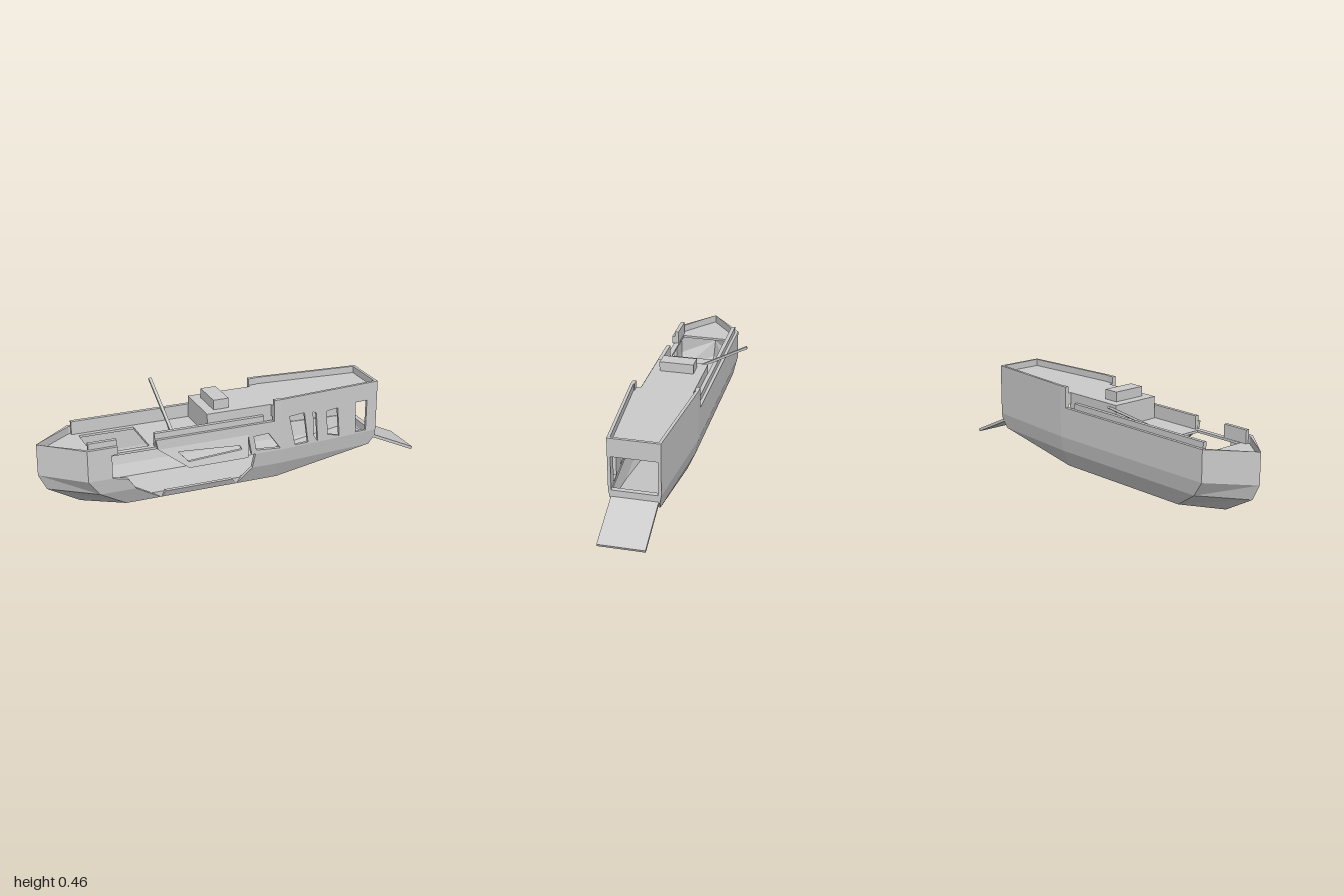
import * as THREE from 'three';

const C = 0.057;          // z of the hull's centre line
const HALF = 0.172;       // greatest half width
const mat = new THREE.MeshStandardMaterial({ color: 0xcccccc, flatShading: true, side: THREE.DoubleSide });

// piecewise linear lookup through [key, value] pairs
function lerpTable(table, k) {
  if (k <= table[0][0]) return table[0][1];
  for (let i = 1; i < table.length; i++) {
    const [a, va] = table[i - 1], [b, vb] = table[i];
    if (k <= b) return va + (vb - va) * (k - a) / (b - a);
  }
  return table[table.length - 1][1];
}

// half width of the hull: chined section, pointed bow, tapering stern
function halfWidth(x, y) {
  const beam = lerpTable([[0.2, HALF], [0.76, 0.127]], x) - lerpTable([[0, 0.055], [0.09, 0.015], [0.17, 0]], y);
  const apex = lerpTable([[0, -0.8], [0.09, -0.96], [0.17, -1]], y);
  const shoulder = lerpTable([[0, -0.6], [0.09, -0.74], [0.17, -0.8]], y);
  return beam * THREE.MathUtils.clamp((x - apex) / (shoulder - apex), 0, 1);
}
const keel = x => lerpTable([[0.2, 0], [0.73, 0.09], [0.76, 0.135]], x);

function makeShape(points, holes) {
  const v = list => list.map(p => new THREE.Vector2(p[0], p[1]));
  const shape = new THREE.Shape(v(points));
  for (const h of holes) shape.holes.push(new THREE.Path(v(h)));
  return new THREE.ExtrudeGeometry(shape, { depth: 1, bevelEnabled: false });
}

function createModel() {
  const group = new THREE.Group();

  function add(name, geometry) {
    const mesh = new THREE.Mesh(geometry, mat);
    mesh.name = name;
    group.add(mesh);
    return mesh;
  }

  function box(name, x0, x1, y0, y1, z0, z1) {
    const m = add(name, new THREE.BoxGeometry(x1 - x0, y1 - y0, z1 - z0));
    m.position.set((x0 + x1) / 2, (y0 + y1) / 2, (z0 + z1) / 2);
    return m;
  }

  // outline in side view, laid onto the hull side with a thickness
  function plate(name, side, points, holes = [], offset = () => 0, t = 0.02) {
    const g = makeShape(points, holes), p = g.attributes.position;
    for (let i = 0; i < p.count; i++) {
      const x = p.getX(i), y = p.getY(i);
      const w = halfWidth(x, y) + offset(y) - t * (1 - p.getZ(i));
      p.setZ(i, C + side * Math.max(0, w));
    }
    g.computeVertexNormals();
    add(name, g);
  }

  // horizontal slab that follows the hull's plan between the given stations
  function slab(name, stations, yAt, up, holes = [], inset = 0.01) {
    const edge = stations.map(x => [x, Math.max(0.0005, halfWidth(x, yAt(x)) - inset)]);
    const outline = [...edge, ...edge.slice().reverse().map(([x, w]) => [x, -w])];
    const g = makeShape(outline, holes), p = g.attributes.position;
    for (let i = 0; i < p.count; i++) {
      const x = p.getX(i), z = p.getY(i);
      p.setXYZ(i, x, yAt(x) + up * p.getZ(i), C + z);
    }
    g.computeVertexNormals();
    add(name, g);
  }

  // bow facets, both sides
  for (const side of [1, -1]) {
    plate('bowUpper', side, [[-1, 0.17], [-0.8, 0.17], [-0.8, 0.33], [-1, 0.33]]);
    plate('bowMiddle', side, [[-1, 0.17], [-0.96, 0.09], [-0.74, 0.09], [-0.8, 0.17]]);
    plate('bowLower', side, [[-0.96, 0.09], [-0.8, 0], [-0.6, 0], [-0.74, 0.09]]);
  }

  // intact far side
  plate('backSideUpper', -1, [[-0.8, 0.17], [0.2, 0.17], [0.2, 0.44], [0.16, 0.44], [0.16, 0.33], [-0.8, 0.33]]);
  plate('backSideMiddle', -1, [[-0.8, 0.17], [-0.74, 0.09], [0.2, 0.09], [0.2, 0.17]]);
  plate('backSideLower', -1, [[-0.74, 0.09], [-0.6, 0], [0.2, 0], [0.2, 0.09]]);

  // torn front side
  plate('frontForwardUpper', 1, [[-0.8, 0.17], [-0.68, 0.17], [-0.68, 0.29], [-0.65, 0.29], [-0.65, 0.33], [-0.8, 0.33]]);
  plate('frontForwardMiddle', 1, [[-0.8, 0.17], [-0.74, 0.09], [-0.56, 0.09], [-0.6, 0.15], [-0.68, 0.17]]);
  plate('frontForwardLower', 1, [[-0.74, 0.09], [-0.6, 0], [-0.42, 0], [-0.5, 0.05], [-0.56, 0.09]]);
  plate('frontCentreLower', 1, [[-0.42, 0], [-0.4, 0.035], [-0.05, 0.035], [-0.02, 0]]);
  plate('frontUpperBand', 1,
    [[-0.46, 0.33], [-0.45, 0.28], [0.02, 0.28], [0.04, 0.17], [0.2, 0.17], [0.2, 0.44], [0.16, 0.44], [0.16, 0.33]],
    [[[0.05, 0.265], [0.13, 0.27], [0.195, 0.18], [0.065, 0.19]]]);
  plate('bentPanel', 1, [[-0.45, 0.28], [-0.3, 0.17], [0.01, 0.17], [0.02, 0.28]],
    [[[-0.35, 0.255], [-0.03, 0.235], [-0.02, 0.215], [-0.3, 0.2]]], y => 0.027 * (0.28 - y) / 0.11, 0.015);
  plate('frontAftMiddle', 1, [[0.06, 0.17], [0.05, 0.09], [0.2, 0.09], [0.2, 0.17]]);
  plate('frontAftLower', 1, [[0.05, 0.09], [-0.02, 0], [0.2, 0], [0.2, 0.09]]);

  // tapering stern sides; the front one is pierced
  const gaps = [
    [[0.245, 0.34], [0.33, 0.345], [0.355, 0.18], [0.28, 0.18]],
    [[0.38, 0.34], [0.40, 0.33], [0.412, 0.175], [0.388, 0.21]],
    [[0.46, 0.33], [0.525, 0.335], [0.54, 0.18], [0.47, 0.2]],
    [[0.63, 0.345], [0.70, 0.345], [0.70, 0.18], [0.64, 0.18]],
  ];
  for (const side of [1, -1]) {
    plate('sternUpper', side, [[0.2, 0.17], [0.76, 0.17], [0.76, 0.44], [0.2, 0.44]], side > 0 ? gaps : [], undefined, 0.015);
    plate('sternMiddle', side, [[0.2, 0.17], [0.2, 0.09], [0.73, 0.09], [0.76, 0.135], [0.76, 0.17]]);
    plate('sternLower', side, [[0.2, 0.09], [0.2, 0], [0.73, 0.09]]);
  }

  // bottom plating, thick enough to carry the hold floor
  slab('bottom', [-0.8, -0.6, 0.2], keel, 0.03, [], 0);
  slab('sternBottom', [0.2, 0.73], keel, 0.035, [], 0);
  slab('sternLip', [0.73, 0.76], keel, 0.03, [], 0);
  box('sternSill', 0.735, 0.76, 0.13, 0.17, C - 0.12, C + 0.12);
  box('transom', 0.745, 0.76, 0.345, 0.44, C - 0.127, C + 0.127);

  // decks
  slab('mainDeck', [-0.99, -0.8, 0.16], () => 0.28, 0.012,
    [[[-0.76, -0.112], [-0.48, -0.112], [-0.48, 0.133], [-0.76, 0.133]]], 0.012);
  slab('upperDeck', [0.16, 0.2, 0.755], () => 0.345, 0.06);
  box('deckHouse', -0.18, 0.17, 0.285, 0.405, C - 0.135, C + 0.13);
  box('hatch', -0.13, -0.05, 0.405, 0.455, -0.03, 0.145);

  // raised inner rails
  for (const [side, x0, x1] of [[-1, -0.79, 0.11], [1, -0.79, -0.65], [1, -0.46, 0.11]]) {
    plate('rail', side, [[x0, 0.285], [x1, 0.285], [x1, 0.36], [x0, 0.36]], [], () => -0.016);
  }

  // leaning mast
  const from = new THREE.Vector3(-0.32, 0.292, 0.055), to = new THREE.Vector3(-0.32, 0.457, -0.253);
  const mast = add('mast', new THREE.BoxGeometry(0.015, 0.012, from.distanceTo(to)));
  mast.position.copy(from).add(to).multiplyScalar(0.5);
  mast.lookAt(to);

  // lowered stern ramp
  const ramp = add('ramp', new THREE.BoxGeometry(0.27, 0.015, 0.228));
  ramp.position.set(0.873, 0.076, C);
  ramp.rotation.z = Math.atan2(-0.115, 0.25);

  return group;
}

export { createModel };
